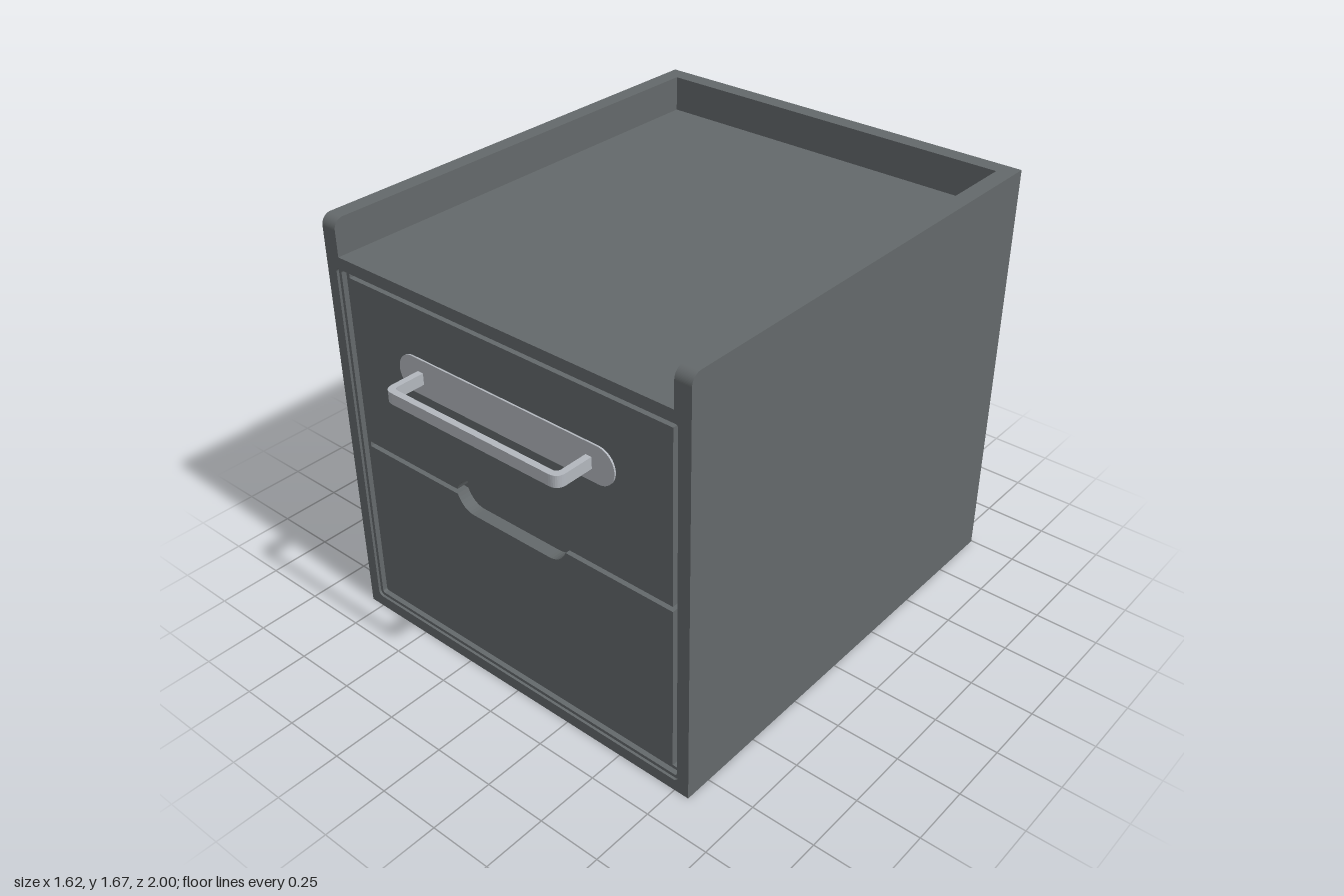
import * as THREE from 'three';

const grey = new THREE.MeshStandardMaterial({ color: 0x64696b });
grey.name = 'slate grey';
const metal = new THREE.MeshStandardMaterial({ color: 0xb3b7be });
metal.name = 'light metal';

// Rounded rectangle traced on a Shape or Path
function roundRect(path, x0, y0, x1, y1, r) {
  path.moveTo(x0 + r, y0);
  path.lineTo(x1 - r, y0);
  if (r) path.absarc(x1 - r, y0 + r, r, -Math.PI / 2, 0);
  path.lineTo(x1, y1 - r);
  if (r) path.absarc(x1 - r, y1 - r, r, 0, Math.PI / 2);
  path.lineTo(x0 + r, y1);
  if (r) path.absarc(x0 + r, y1 - r, r, Math.PI / 2, Math.PI);
  path.lineTo(x0, y0 + r);
  if (r) path.absarc(x0 + r, y0 + r, r, Math.PI, Math.PI * 1.5);
  return path;
}

const extrude = (shape, depth) =>
  new THREE.ExtrudeGeometry(shape, { depth, bevelEnabled: false, curveSegments: 8 });

export function createModel() {
  const model = new THREE.Group();
  model.name = 'bedsideCabinet';

  const add = (name, geometry, material = grey) => {
    const mesh = new THREE.Mesh(geometry, material);
    mesh.name = name;
    model.add(mesh);
    return mesh;
  };
  const box = (name, x0, x1, y0, y1, z0, z1) =>
    add(name, new THREE.BoxGeometry(x1 - x0, y1 - y0, z1 - z0))
      .position.set((x0 + x1) / 2, (y0 + y1) / 2, (z0 + z1) / 2);

  const W = 0.81, IN = 0.745, DECK = 1.53, TOP = 1.67, FRONT = 0.86, BACK = -0.997;

  // Frame as wide as the cabinet, with one opening
  const frame = (name, hx, hy0, hy1, r, z0, z1) => {
    const s = roundRect(new THREE.Shape(), -W, 0, W, DECK, 0);
    s.holes.push(roundRect(new THREE.Path(), -hx, hy0, hx, hy1, r));
    add(name, extrude(s, z1 - z0)).position.z = z0;
  };

  // Main body with recessed back panel
  box('carcass', -W, W, 0, DECK, -0.94, 0.79);
  frame('backFrame', IN, 0.055, 1.464, 0, BACK, -0.94);
  box('backRail', -IN, IN, 1.464, DECK, -1, BACK);

  // Stepped moulding around the drawers
  frame('innerFrame', 0.737, 0.073, 1.46, 0, 0.79, 0.83);
  frame('middleFrame', 0.752, 0.06, 1.475, 0.01, 0.83, 0.85);
  frame('frontFrame', 0.765, 0.047, 1.487, 0.02, 0.85, FRONT);

  // Raised edge around the top, open at the front
  for (const side of [-1, 1]) {
    const r = 0.04;
    const s = new THREE.Shape();
    s.moveTo(BACK, DECK);
    s.lineTo(FRONT, DECK);
    s.lineTo(FRONT, TOP - r);
    s.absarc(FRONT - r, TOP - r, r, 0, Math.PI / 2);
    s.lineTo(BACK, TOP);
    const g = extrude(s, W - IN).rotateY(-Math.PI / 2);
    add(side > 0 ? 'leftTrayEdge' : 'rightTrayEdge', g).position.x = side > 0 ? W : -IN;
  }
  box('backTrayEdge', -IN, IN, DECK, TOP, BACK, -0.93);

  // Drawer fronts, each with half of the finger pull cut out
  const drawer = (name, far, near, notch) => {
    const s = new THREE.Shape();
    s.moveTo(-0.725, far);
    s.lineTo(0.725, far);
    s.lineTo(0.725, near);
    s.lineTo(0.26, near);
    s.quadraticCurveTo(0.235, notch, 0.18, notch);
    s.lineTo(-0.18, notch);
    s.quadraticCurveTo(-0.235, notch, -0.26, near);
    s.lineTo(-0.725, near);
    add(name, extrude(s, 0.05)).position.z = 0.79;
  };
  drawer('lowerDrawer', 0.085, 0.757, 0.7);
  drawer('upperDrawer', 1.45, 0.778, 0.84);

  // Handle plate and bow handle
  const plate = roundRect(new THREE.Shape(), -0.495, 1.115, 0.495, 1.258, 0.07);
  add('handlePlate', extrude(plate, 0.007), metal).position.z = 0.84;

  const bow = new THREE.Shape();
  bow.moveTo(-0.4, 0.84);
  bow.lineTo(-0.375, 0.84);
  bow.lineTo(-0.375, 0.955);
  bow.quadraticCurveTo(-0.375, 0.975, -0.355, 0.975);
  bow.lineTo(0.355, 0.975);
  bow.quadraticCurveTo(0.375, 0.975, 0.375, 0.955);
  bow.lineTo(0.375, 0.84);
  bow.lineTo(0.4, 0.84);
  bow.lineTo(0.4, 0.96);
  bow.quadraticCurveTo(0.4, 1, 0.36, 1);
  bow.lineTo(-0.36, 1);
  bow.quadraticCurveTo(-0.4, 1, -0.4, 0.96);
  add('handle', extrude(bow, 0.045).rotateX(Math.PI / 2), metal).position.y = 1.208;

  return model;
}
